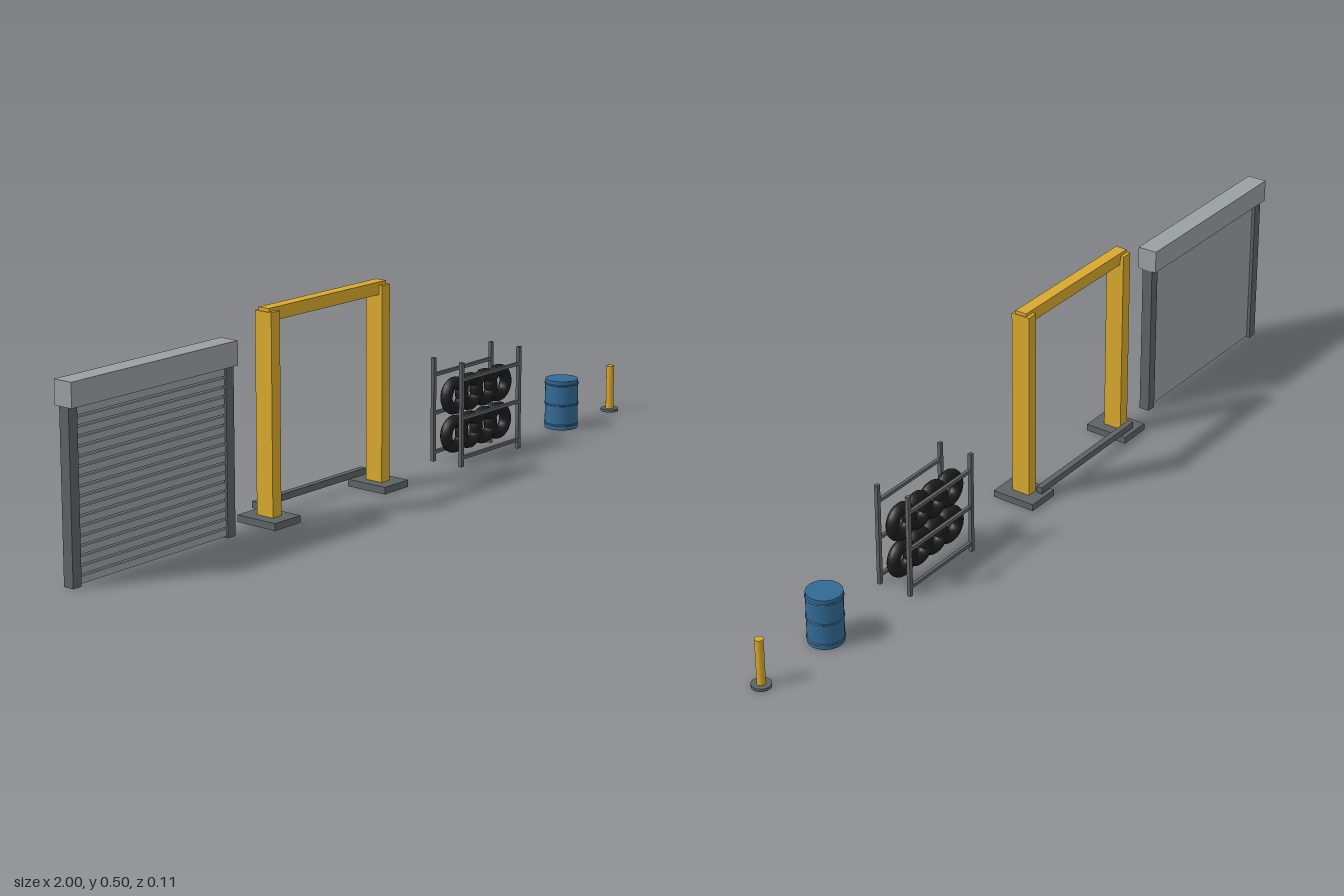
import * as THREE from 'three';

const mat = (color) => new THREE.MeshStandardMaterial({ color });

export function createModel() {
  const root = new THREE.Group();
  const yellow = mat(0xd9a92e), steel = mat(0x9a9f9f), dark = mat(0x5c6262);
  const blue = mat(0x316a94), rubber = mat(0x1c1c1c);

  const group = (name, x) => {
    const g = new THREE.Group();
    g.name = name;
    g.position.x = x;
    root.add(g);
    return g;
  };
  const add = (parent, name, geometry, material, x, y, z) => {
    const m = new THREE.Mesh(geometry, material);
    m.name = name;
    m.position.set(x, y, z);
    parent.add(m);
    return m;
  };
  // Box given by its width, bottom, top and depth
  const box = (parent, name, material, x, w, y0, y1, z, d) =>
    add(parent, name, new THREE.BoxGeometry(w, y1 - y0, d), material, x, (y0 + y1) / 2, z);

  // Roller shutter: header, guide rails and a ribbed curtain
  const shutter = group('rollerShutter', -0.7465);
  box(shutter, 'header', steel, 0, 0.507, 0.39, 0.446, 0, 0.05);
  for (const s of [-1, 1]) box(shutter, 'guideRail', dark, s * 0.239, 0.025, 0, 0.39, 0, 0.027);
  box(shutter, 'curtain', steel, 0, 0.455, 0.003, 0.39, 0, 0.01);
  const slats = 18, pitch = 0.386 / slats;
  for (let i = 0; i < slats; i++) {
    const y = 0.004 + i * pitch;
    box(shutter, 'slat', steel, 0, 0.455, y, y + pitch * 0.75, 0.006, 0.006);
  }

  // Two-post lift: base plates, columns, top beam and floor bar
  const lift = group('twoPostLift', -0.174);
  for (const s of [-1, 1]) {
    box(lift, 'basePlate', dark, s * 0.194, 0.086, 0, 0.017, 0, 0.113);
    box(lift, 'column', yellow, s * 0.193, 0.029, 0.001, 0.489, 0, 0.048);
  }
  box(lift, 'topBeam', yellow, 0, 0.41, 0.467, 0.497, 0, 0.03);
  box(lift, 'floorBar', dark, 0, 0.386, 0.024, 0.04, -0.044, 0.015);

  // Tyre rack: two side frames holding two rows of tyres
  const rack = group('tyreRack', 0.4);
  for (const z of [-0.043, 0.043]) {
    for (const x of [-0.115, 0.115]) box(rack, 'rackPost', dark, x, 0.01, 0, 0.259, z, 0.009);
    for (const y of [0.022, 0.12, 0.216]) box(rack, 'rackRail', dark, 0, 0.23, y - 0.004, y + 0.004, z, 0.008);
  }
  const tyre = new THREE.TorusGeometry(0.032, 0.015, 12, 28);
  for (const y of [0.07, 0.166])
    for (let i = 0; i < 4; i++) add(rack, 'tyre', tyre, rubber, (i - 1.5) * 0.058, y, 0);

  // Oil drum with three hoops
  const drum = group('drum', 0.759);
  add(drum, 'drumBody', new THREE.CylinderGeometry(0.042, 0.042, 0.127, 28), blue, 0, 0.0635, 0);
  const hoop = new THREE.TorusGeometry(0.042, 0.002, 8, 28).rotateX(Math.PI / 2);
  for (const y of [0.012, 0.064, 0.116]) add(drum, 'drumHoop', hoop, blue, 0, y, 0);

  // Bollard on a round foot
  const bollard = group('bollard', 0.976);
  add(bollard, 'bollardFoot', new THREE.CylinderGeometry(0.023, 0.023, 0.007, 20), dark, 0, 0.0035, 0);
  add(bollard, 'bollardPost', new THREE.CylinderGeometry(0.01, 0.01, 0.119, 20), yellow, 0, 0.0615, 0);

  return root;
}
